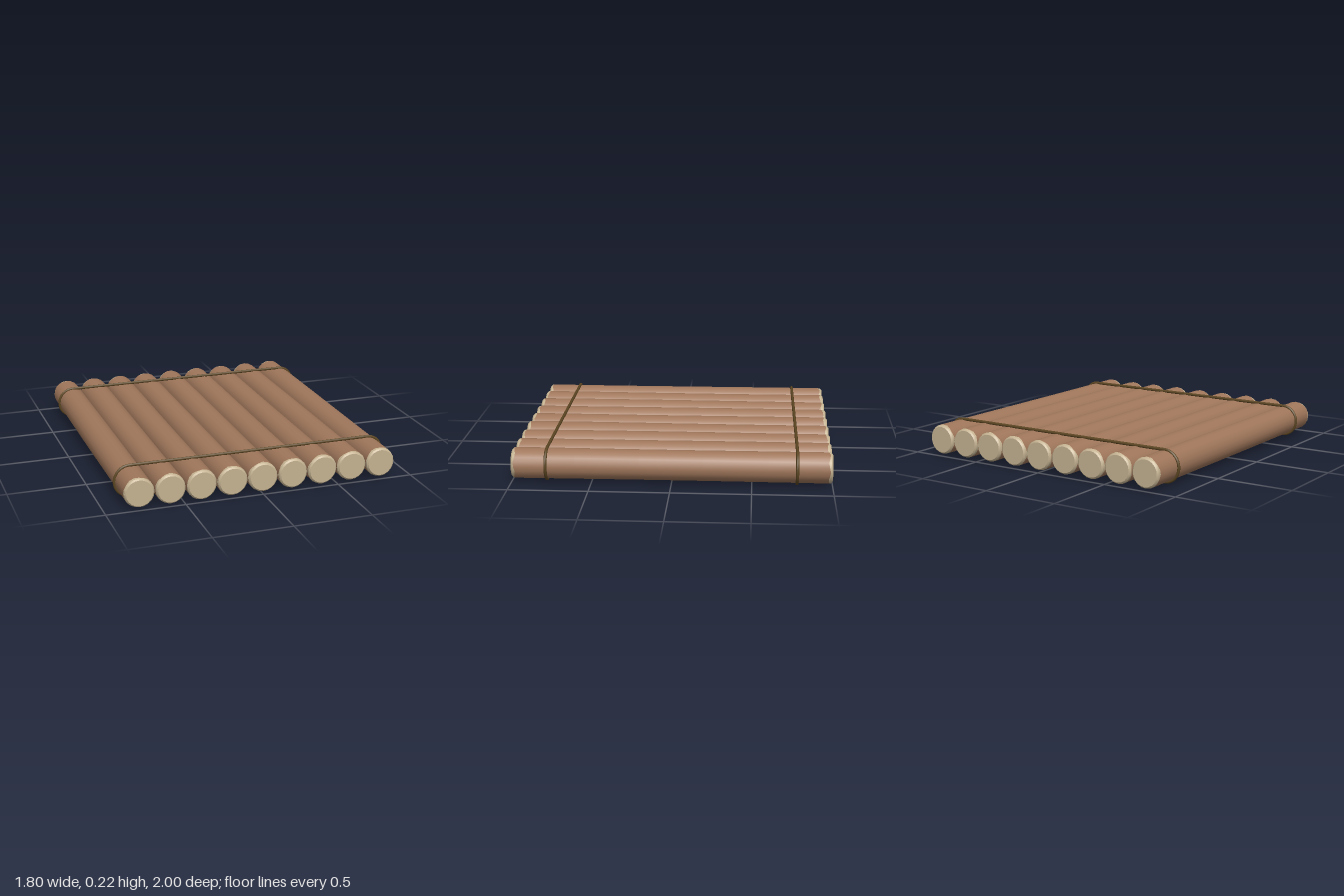
import * as THREE from 'three';
import { toCreasedNormals } from 'three/addons/utils/BufferGeometryUtils.js';

const LOGS = 9, SPACING = 0.197, RADIUS = 0.097, CENTER_Y = 0.114, SIDES = 20;
const bark = new THREE.MeshStandardMaterial({ color: 0xa0775b });
const wood = new THREE.MeshStandardMaterial({ color: 0xc4b291 });
const rope = new THREE.MeshStandardMaterial({ color: 0x5c4622 });

// Turns a [radius, z] profile about z, then makes it slightly uneven per log.
function turned(profile, seed) {
  const geo = new THREE.LatheGeometry(profile.map(([r, z]) => new THREE.Vector2(r, z)), SIDES);
  geo.rotateX(Math.PI / 2);
  const p = geo.attributes.position;
  for (let i = 0; i < p.count; i++) {
    const x = p.getX(i), y = p.getY(i), z = p.getZ(i), a = Math.atan2(y, x);
    const r = Math.hypot(x, y);
    const k = 1 + 0.012 * Math.sin(2 * a + seed * 1.7 + z * 2.5) - 0.012;
    // ragged line where the bark stops
    const ragged = r > 0.095 && Math.abs(z) > 0.95 ? 0.006 * Math.sin(5 * a + seed * 2.3 + z) : 0;
    p.setXYZ(i, x * k, y * k, z + ragged);
  }
  return toCreasedNormals(geo, 0.5);
}

function makeLog(i) {
  const log = new THREE.Group();
  log.name = `log${i + 1}`;
  const stations = [-0.978, -0.6, -0.2, 0.2, 0.6, 0.978];
  const barkMesh = new THREE.Mesh(turned(stations.map(z => [RADIUS, z]), i), bark);
  barkMesh.name = 'bark';
  log.add(barkMesh);

  // bevelled cut ends
  const ends = {
    frontCut: [[RADIUS, 0.978], [0.094, 0.99], [0.085, 0.999], [0, 0.999]],
    backCut: [[0, -0.999], [0.085, -0.999], [0.094, -0.99], [RADIUS, -0.978]],
  };
  for (const [name, profile] of Object.entries(ends)) {
    const cut = new THREE.Mesh(turned(profile, i), wood);
    cut.name = name;
    log.add(cut);
  }
  log.position.set((i - (LOGS - 1) / 2) * SPACING, CENTER_Y, 0);
  return log;
}

// Rope loop: straight runs above and below, half circles round the outer logs.
function makeLashing(name, z) {
  const half = (LOGS - 1) / 2 * SPACING, r = 0.1;
  const path = new THREE.CurvePath();
  const arc = (cx, start) => {
    const pts = [];
    for (let i = 0; i <= 12; i++) {
      const a = start + Math.PI * i / 12;
      pts.push(new THREE.Vector3(cx + r * Math.cos(a), r * Math.sin(a), 0));
    }
    return new THREE.CatmullRomCurve3(pts);
  };
  const line = (x1, x2, y) => new THREE.LineCurve3(new THREE.Vector3(x1, y, 0), new THREE.Vector3(x2, y, 0));
  path.add(arc(half, -Math.PI / 2));
  path.add(line(half, -half, r));
  path.add(arc(-half, Math.PI / 2));
  path.add(line(-half, half, -r));
  const mesh = new THREE.Mesh(new THREE.TubeGeometry(path, 200, 0.01, 8, true), rope);
  mesh.name = name;
  mesh.position.set(0, CENTER_Y, z);
  return mesh;
}

export function createModel() {
  const raft = new THREE.Group();
  raft.name = 'logRaft';
  for (let i = 0; i < LOGS; i++) raft.add(makeLog(i));
  raft.add(makeLashing('frontLashing', 0.78), makeLashing('backLashing', -0.78));
  return raft;
}
